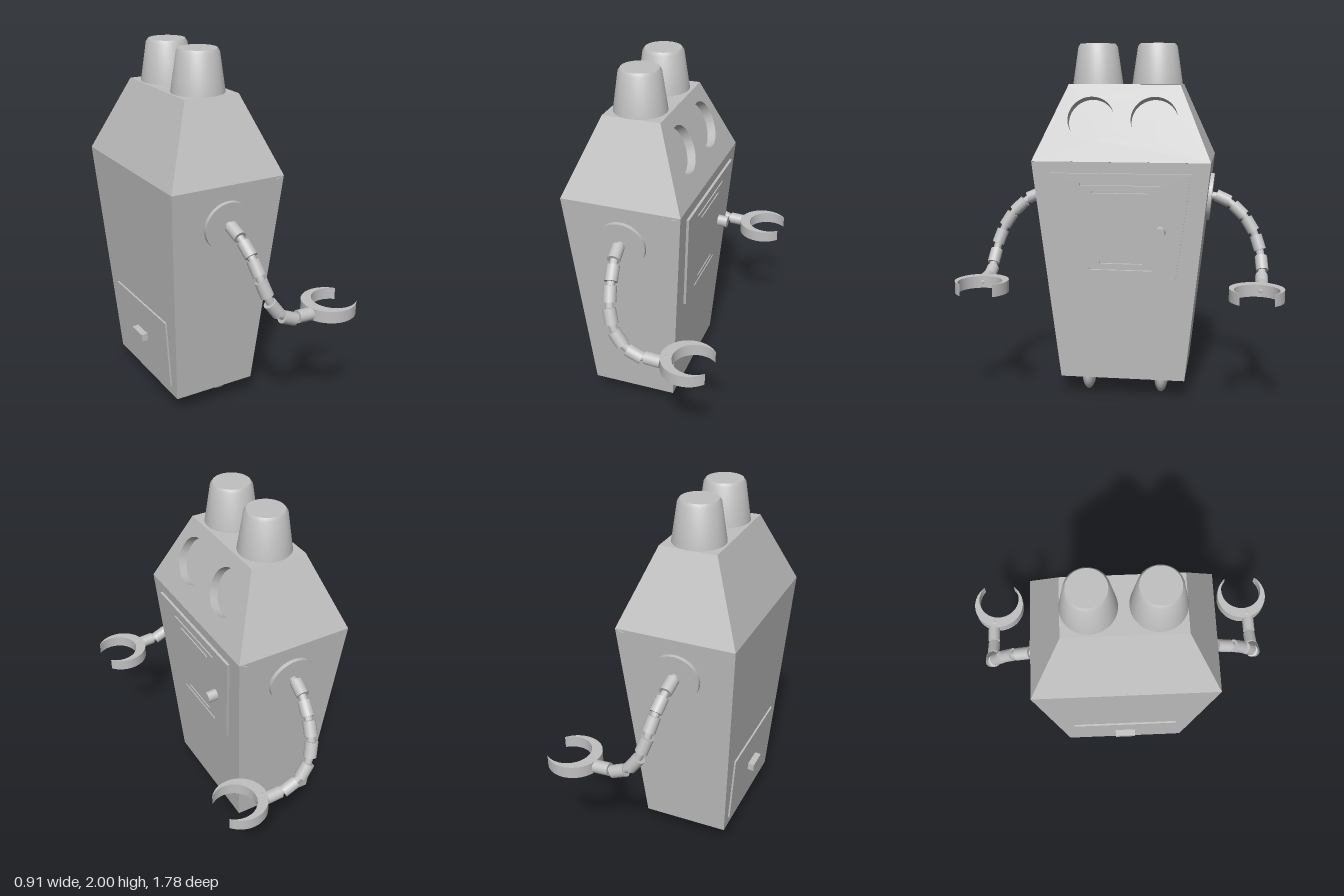
import * as THREE from 'three';
import { toCreasedNormals } from 'three/addons/utils/BufferGeometryUtils.js';

const grey = new THREE.MeshStandardMaterial({ color: 0xc0c0c0 });
grey.name = 'grey metal';

function add(parent, name, geometry, x = 0, y = 0, z = 0) {
  const mesh = new THREE.Mesh(geometry, grey);
  mesh.name = name;
  mesh.position.set(x, y, z);
  parent.add(mesh);
  return mesh;
}

// Group lying on a sloped wall: local z is the wall normal, local y runs up the slope
function mount(parent, name, position, normal) {
  const group = new THREE.Group();
  group.name = name;
  const n = new THREE.Vector3(...normal).normalize();
  const side = new THREE.Vector3(0, 1, 0).cross(n).normalize();
  const up = n.clone().cross(side);
  group.quaternion.setFromRotationMatrix(new THREE.Matrix4().makeBasis(side, up, n));
  group.position.set(...position);
  parent.add(group);
  return group;
}

// Four-sided tapered box between two levels [y, xMin, xMax, zHalf]; openFront skips the +x wall
function taperedBox(low, high, openFront) {
  const ring = ([y, x0, x1, z]) => [[x1, y, z], [x1, y, -z], [x0, y, -z], [x0, y, z]];
  const a = ring(low), b = ring(high), points = [];
  const quad = (p, q, r, s) => points.push(...p, ...q, ...r, ...p, ...r, ...s);
  for (let i = openFront ? 1 : 0; i < 4; i++) {
    const j = (i + 1) % 4;
    quad(a[i], a[j], b[j], b[i]);
  }
  quad(b[0], b[1], b[2], b[3]);
  quad(a[3], a[2], a[1], a[0]);
  const geometry = new THREE.BufferGeometry();
  geometry.setAttribute('position', new THREE.Float32BufferAttribute(points, 3));
  geometry.computeVertexNormals();
  return geometry;
}

function trapezoid(lowHalf, highHalf, halfHeight) {
  return new THREE.Shape([
    new THREE.Vector2(-lowHalf, -halfHeight), new THREE.Vector2(lowHalf, -halfHeight),
    new THREE.Vector2(highHalf, halfHeight), new THREE.Vector2(-highHalf, halfHeight),
  ]);
}

const extrude = (shape, depth) =>
  toCreasedNormals(new THREE.ExtrudeGeometry(shape, { depth, bevelEnabled: false, curveSegments: 32 }), 0.6);

function buildArm(parent, s) {
  const arm = new THREE.Group();
  arm.name = s > 0 ? 'rightArm' : 'leftArm';
  parent.add(arm);

  // Round shoulder plate lying on the side wall
  const shoulder = mount(arm, 'shoulder', [-0.13, 1.14, s * 0.466], [0, -0.135, s * 1.25]);
  add(shoulder, 'shoulderPlate', new THREE.CylinderGeometry(0.135, 0.135, 0.03, 40).rotateX(Math.PI / 2), 0, 0, 0.006);

  // Segmented arm around a thin core
  const centres = [
    [-0.13, 1.15, 0.46], [-0.13, 1.13, 0.55], [-0.115, 1.065, 0.64], [-0.102, 0.985, 0.705],
    [-0.083, 0.885, 0.752], [-0.035, 0.775, 0.775], [0.055, 0.698, 0.775], [0.155, 0.687, 0.775], [0.25, 0.687, 0.775],
  ].map(([x, y, z]) => new THREE.Vector3(x, y, s * z));
  const curve = new THREE.CatmullRomCurve3(centres);
  add(arm, 'armCore', new THREE.TubeGeometry(curve, 60, 0.022, 12));
  for (let i = 1; i < centres.length - 1; i++) {
    const direction = curve.getTangent(i / (centres.length - 1));
    const segment = add(arm, 'armSegment', new THREE.CylinderGeometry(0.035, 0.035, 0.086, 20), ...centres[i]);
    segment.quaternion.setFromUnitVectors(new THREE.Vector3(0, 1, 0), direction);
  }
  add(arm, 'wrist', new THREE.SphereGeometry(0.035, 20, 12), 0.22, 0.687, s * 0.77);

  // Crescent claw
  const crescent = new THREE.Shape();
  crescent.absarc(0, 0, 0.146, 0.664, Math.PI * 2 - 0.664, false);
  crescent.absarc(0.035, 0, 0.12, Math.PI * 2 - 0.844, 0.844, true);
  add(arm, 'claw', extrude(crescent, 0.066).rotateX(Math.PI / 2), 0.335, 0.72, s * 0.744);
}

export function createModel() {
  const model = new THREE.Group();
  model.name = 'robot';

  // Body and head
  const base = [0.11, -0.37, 0.11, 0.355], neck = [1.36, -0.46, 0.2, 0.49], crown = [1.775, -0.285, 0.03, 0.31];
  add(model, 'body', taperedBox(base, neck, false));
  add(model, 'head', taperedBox(neck, crown, true));

  // Face with two round recessed eyes
  const face = mount(model, 'face', [0.115, 1.5675, 0], [0.415, 0.17, 0]);
  const faceShape = trapezoid(0.49, 0.31, 0.224);
  for (const s of [-1, 1]) {
    const hole = new THREE.Path();
    hole.absarc(s * 0.175, 0.022, 0.129, 0, Math.PI * 2, true);
    faceShape.holes.push(hole);
    add(face, 'eye', new THREE.CircleGeometry(0.133, 40), s * 0.175, 0.022, -0.049);
  }
  add(face, 'facePlate', extrude(faceShape, 0.05), 0, 0, -0.05);

  // Front door with vent slots and a knob
  const door = mount(model, 'door', [0.175, 1.01, 0], [1.25, -0.09, 0]);
  const doorShape = trapezoid(0.305, 0.385, 0.29);
  for (const [y, w] of [[0.23, 0.22], [0.187, 0.155], [-0.21, 0.12], [-0.247, 0.176]]) {
    const slot = [[-w, -0.006], [-w, 0.006], [w, 0.006], [w, -0.006]];
    doorShape.holes.push(new THREE.Path(slot.map(([x, dy]) => new THREE.Vector2(x, y + dy))));
  }
  add(door, 'doorPanel', extrude(doorShape, 0.014));
  add(door, 'knob', new THREE.CylinderGeometry(0.028, 0.028, 0.07, 24).rotateX(Math.PI / 2).scale(1, 1.2, 1), 0.22, -0.03, 0.035);

  // Rear hatch with a handle
  const hatch = mount(model, 'rearHatch', [-0.389, 0.37, 0], [-1.25, -0.09, 0]);
  add(hatch, 'hatchPanel', new THREE.BoxGeometry(0.61, 0.4, 0.02));
  add(hatch, 'hatchHandle', new THREE.BoxGeometry(0.12, 0.042, 0.046), 0, 0, 0.023);

  // Ears
  const earProfile = [[0.143, 0], [0.112, 0.208], [0.1, 0.225], [0, 0.225]].map(([r, y]) => new THREE.Vector2(r, y));
  for (const s of [-1, 1]) {
    add(model, 'ear', toCreasedNormals(new THREE.LatheGeometry(earProfile, 40), 0.5), -0.13, 1.775, s * 0.17);
    buildArm(model, s);
  }

  // Two front wheels and one rear wheel
  for (const [x, z] of [[-0.02, 0.212], [-0.02, -0.212], [-0.24, 0]]) {
    add(model, 'wheel', new THREE.SphereGeometry(0.09, 32, 20).scale(1, 1.1, 0.45), x, 0.099, z);
  }
  return model;
}
